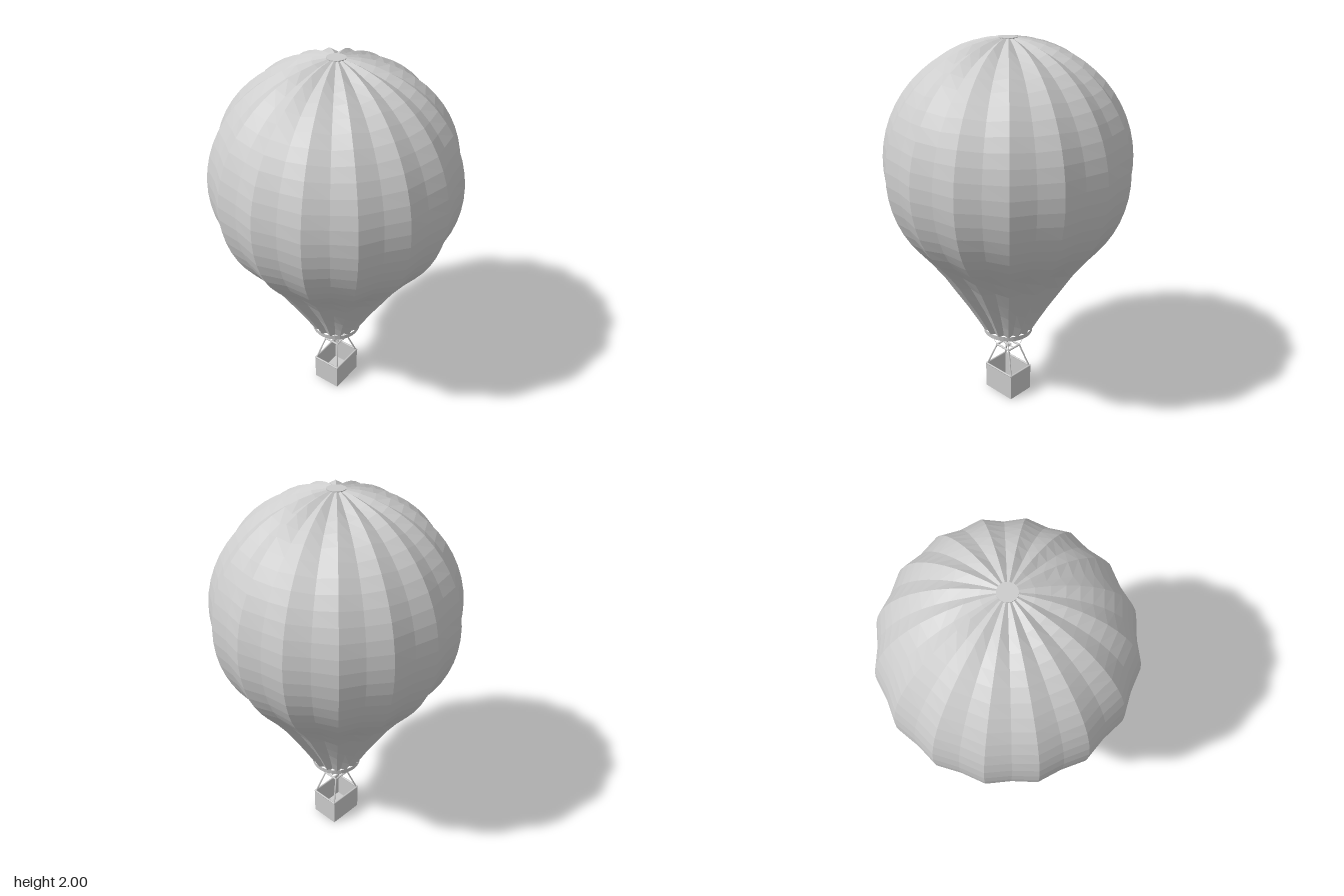
import * as THREE from 'three';

const V = (x, y, z) => new THREE.Vector3(x, y, z);
const flat = new THREE.MeshStandardMaterial({ color: 0xcccccc, flatShading: true, side: THREE.DoubleSide });
const smooth = new THREE.MeshStandardMaterial({ color: 0xcccccc });

function add(parent, name, geometry, material = smooth, x = 0, y = 0, z = 0) {
  const mesh = new THREE.Mesh(geometry, material);
  mesh.name = name;
  mesh.position.set(x, y, z);
  parent.add(mesh);
  return mesh;
}

// Round bar between two points
function bar(parent, name, a, b, radius, sides = 8) {
  const mesh = add(parent, name, new THREE.CylinderGeometry(radius, radius, a.distanceTo(b), sides));
  mesh.position.copy(a).lerp(b, 0.5);
  mesh.quaternion.setFromUnitVectors(V(0, 1, 0), b.clone().sub(a).normalize());
  return mesh;
}

// Ridge profile of the envelope: spherical crown, then a tapering neck
function envelopeProfile() {
  const R = 0.635, cy = 1.365, rows = 20, pts = [];
  for (let i = 0; i <= rows; i++) {
    const a = THREE.MathUtils.degToRad(4 + (126 * i) / rows);
    pts.push(new THREE.Vector2(R * Math.sin(a), cy + R * Math.cos(a)));
  }
  const neck = [[0.423, 0.88], [0.358, 0.79], [0.297, 0.69], [0.235, 0.59], [0.178, 0.49], [0.137, 0.415]];
  neck.forEach(([r, y]) => pts.push(new THREE.Vector2(r, y)));
  return pts;
}

// Sixteen gores: ridges on the profile, valleys pushed in along its normal
function envelopeGeometry() {
  const pts = envelopeProfile(), seg = 32, pos = [], index = [];
  pts.forEach((p, i) => {
    const t = pts[Math.min(i + 1, pts.length - 1)].clone().sub(pts[Math.max(i - 1, 0)]).normalize();
    const depth = 0.02 * Math.min(1, p.x / 0.19);
    for (let j = 0; j < seg; j++) {
      const d = j % 2 ? depth : 0, a = (j / seg) * Math.PI * 2;
      const r = p.x + t.y * d, y = p.y - t.x * d;
      pos.push(r * Math.cos(a), y, r * Math.sin(a));
      if (i < pts.length - 1) {
        const k = (j + 1) % seg, q = i * seg;
        index.push(q + j, q + k, q + seg + j, q + k, q + seg + k, q + seg + j);
      }
    }
  });
  const g = new THREE.BufferGeometry();
  g.setAttribute('position', new THREE.Float32BufferAttribute(pos, 3));
  g.setIndex(index);
  g.computeVertexNormals();
  return g;
}

export function createModel() {
  const model = new THREE.Group();
  model.name = 'hotAirBalloon';

  // Envelope with crown cap and mouth band
  const envelope = new THREE.Group();
  envelope.name = 'envelope';
  model.add(envelope);
  add(envelope, 'gores', envelopeGeometry(), flat);
  add(envelope, 'crownCap', new THREE.CylinderGeometry(0.046, 0.046, 0.004, 32), smooth, 0, 1.998);
  add(envelope, 'mouthBand', new THREE.CylinderGeometry(0.137, 0.135, 0.028, 32, 1, true), flat, 0, 0.406);

  // Open basket
  const basket = new THREE.Group();
  basket.name = 'basket';
  model.add(basket);
  const W = 0.2, D = 0.16, H = 0.152, T = 0.006;
  add(basket, 'floor', new THREE.BoxGeometry(W, 0.008, D), smooth, 0, 0.004);
  for (const s of [-1, 1]) {
    add(basket, 'longWall', new THREE.BoxGeometry(W, H, T), smooth, 0, H / 2, s * (D - T) / 2);
    add(basket, 'shortWall', new THREE.BoxGeometry(T, H, D - 2 * T), smooth, s * (W - T) / 2, H / 2, 0);
    bar(basket, 'longRim', V(-0.1, H, s * 0.078), V(0.1, H, s * 0.078), 0.005);
    bar(basket, 'shortRim', V(s * 0.098, H, -0.08), V(s * 0.098, H, 0.08), 0.005);
  }

  // Load frame, uprights and suspension cables
  const rigging = new THREE.Group();
  rigging.name = 'rigging';
  model.add(rigging);
  const fx = 0.046, fz = 0.042, fy = 0.286;
  for (const s of [-1, 1]) {
    bar(rigging, 'frameLongBar', V(-fx - 0.004, fy, s * fz), V(fx + 0.004, fy, s * fz), 0.0055);
    bar(rigging, 'frameShortBar', V(s * fx, fy, -fz - 0.004), V(s * fx, fy, fz + 0.004), 0.0055);
    for (const q of [-1, 1]) {
      bar(rigging, 'upright', V(s * 0.094, H, q * 0.074), V(s * fx, fy, q * fz), 0.0045);
      bar(rigging, 'cable', V(s * fx, fy, q * fz), V(s * 0.09, 0.405, q * 0.09), 0.001, 5);
    }
  }

  // Burner held in the middle of the frame
  const burner = new THREE.Group();
  burner.name = 'burner';
  model.add(burner);
  bar(burner, 'burnerCrossbar', V(-fx, fy, 0), V(fx, fy, 0), 0.003);
  add(burner, 'burnerCan', new THREE.CylinderGeometry(0.012, 0.012, 0.014, 16), smooth, 0, fy);
  const coil = add(burner, 'burnerCoil', new THREE.TorusGeometry(0.015, 0.003, 8, 20), smooth, 0, fy + 0.002);
  coil.rotation.x = Math.PI / 2;

  return model;
}
